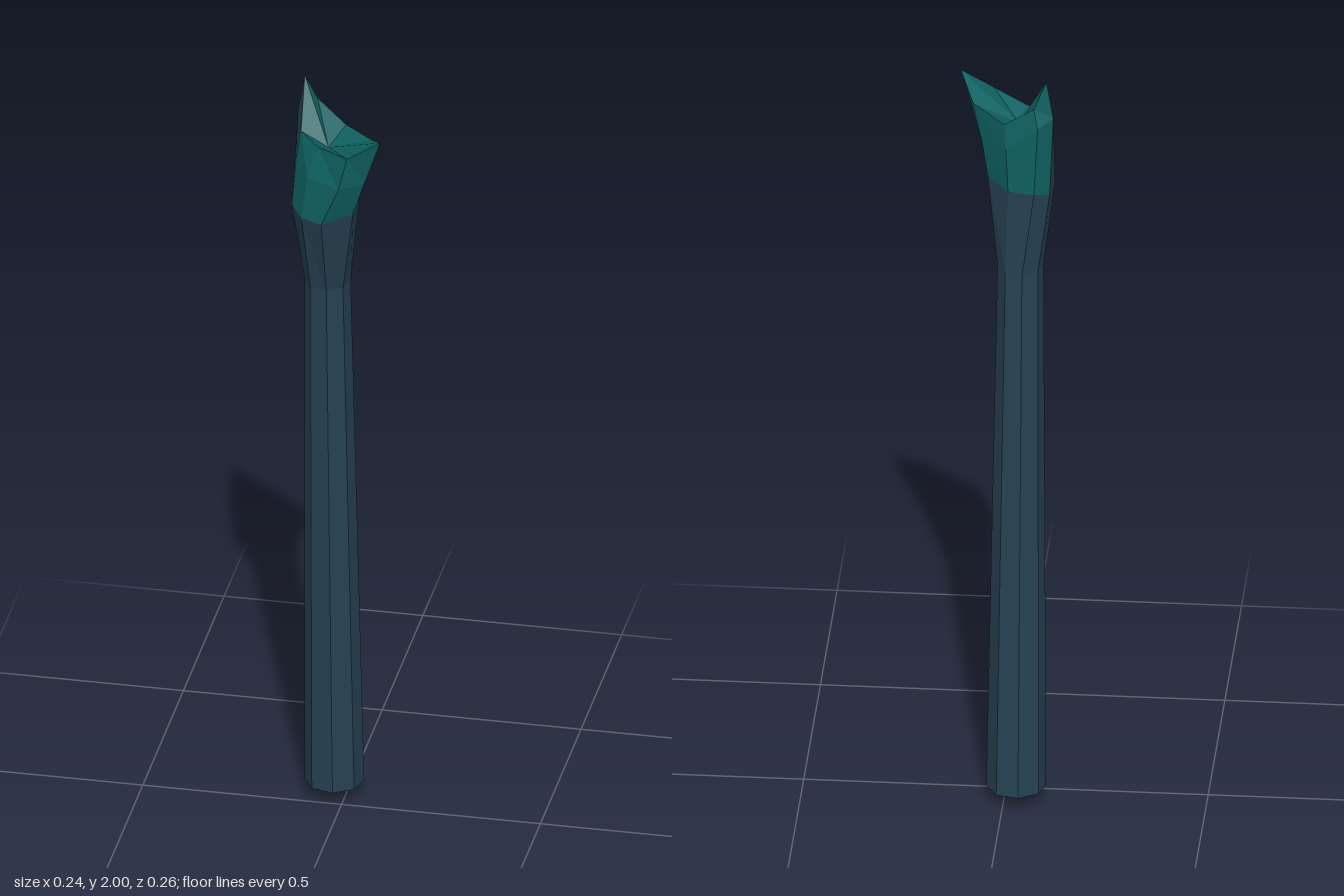
import * as THREE from 'three';

const SIDES = 8;

// Regular ring of points, clockwise seen from above, starting at the back
function ring(cx, y, cz, r) {
  return Array.from({ length: SIDES }, (_, k) => {
    const a = ((-98 + 45 * k) * Math.PI) / 180;
    return [cx + r * Math.cos(a), y, cz + r * Math.sin(a)];
  });
}

// Faces joining two rings, for the chosen panels
function band(lower, upper, panels) {
  return panels.flatMap((k) => {
    const n = (k + 1) % SIDES;
    return [lower[k], upper[k], upper[n], lower[k], upper[n], lower[n]];
  });
}

// Faces closing a ring with a single point
function fan(points, tip, up) {
  return points.flatMap((p, k) => {
    const q = points[(k + 1) % SIDES];
    return up ? [p, tip, q] : [q, tip, p];
  });
}

function part(name, corners, material) {
  const geometry = new THREE.BufferGeometry();
  geometry.setAttribute('position', new THREE.Float32BufferAttribute(corners.flat(), 3));
  geometry.computeVertexNormals();
  const mesh = new THREE.Mesh(geometry, material);
  mesh.name = name;
  return mesh;
}

export function createModel() {
  const navy = new THREE.MeshStandardMaterial({ color: 0x264152, flatShading: true, side: THREE.DoubleSide });
  navy.name = 'dark slate blue';
  const teal = new THREE.MeshStandardMaterial({ color: 0x106262, flatShading: true, side: THREE.DoubleSide });
  teal.name = 'deep teal';

  const foot = ring(-0.03, 0.038, -0.057, 0.074);
  const neck = ring(-0.037, 1.46, -0.01, 0.057);
  // Widening top of the shaft, stretched toward the two prongs
  const flare = [
    [-0.075, 1.69, -0.072], [-0.01, 1.69, -0.06], [0.045, 1.7, 0.0], [0.045, 1.7, 0.08],
    [-0.03, 1.675, 0.105], [-0.085, 1.675, 0.08], [-0.12, 1.68, 0.025], [-0.112, 1.68, -0.045],
  ];
  const swell = [
    [-0.085, 1.88, -0.085], [-0.005, 1.81, -0.064], [0.062, 1.8, 0.01], [0.078, 1.8, 0.1],
    [0.018, 1.79, 0.128], [-0.07, 1.79, 0.08], [-0.112, 1.79, 0.015], [-0.122, 1.9, -0.06],
  ];
  // Notched rim with a low prong at the front and a tall one at the back
  const rim = [
    [-0.075, 1.93, -0.075], [0.0, 1.875, -0.055], [0.083, 1.885, 0.03], [0.122, 1.93, 0.122],
    [0.04, 1.88, 0.13], [-0.045, 1.87, 0.065], [-0.1, 1.88, 0.01], [-0.105, 2.0, -0.06],
  ];

  const all = [0, 1, 2, 3, 4, 5, 6, 7];
  const painted = all.filter((k) => k !== 6);

  const model = new THREE.Group();
  model.name = 'staff';
  model.add(
    part('footTip', fan(foot, [-0.035, 0, -0.057], false), navy),
    part('shaft', band(foot, neck, all), navy),
    part('flaredNeck', band(neck, flare, all), navy),
    part('neckSidePanel', [...band(flare, swell, [6]), ...band(swell, rim, [6])], navy),
    part('prongedHead', [...band(flare, swell, painted), ...band(swell, rim, painted)], teal),
    part('headHollow', fan(rim, [-0.03, 1.845, 0.015], true), teal),
  );
  return model;
}
